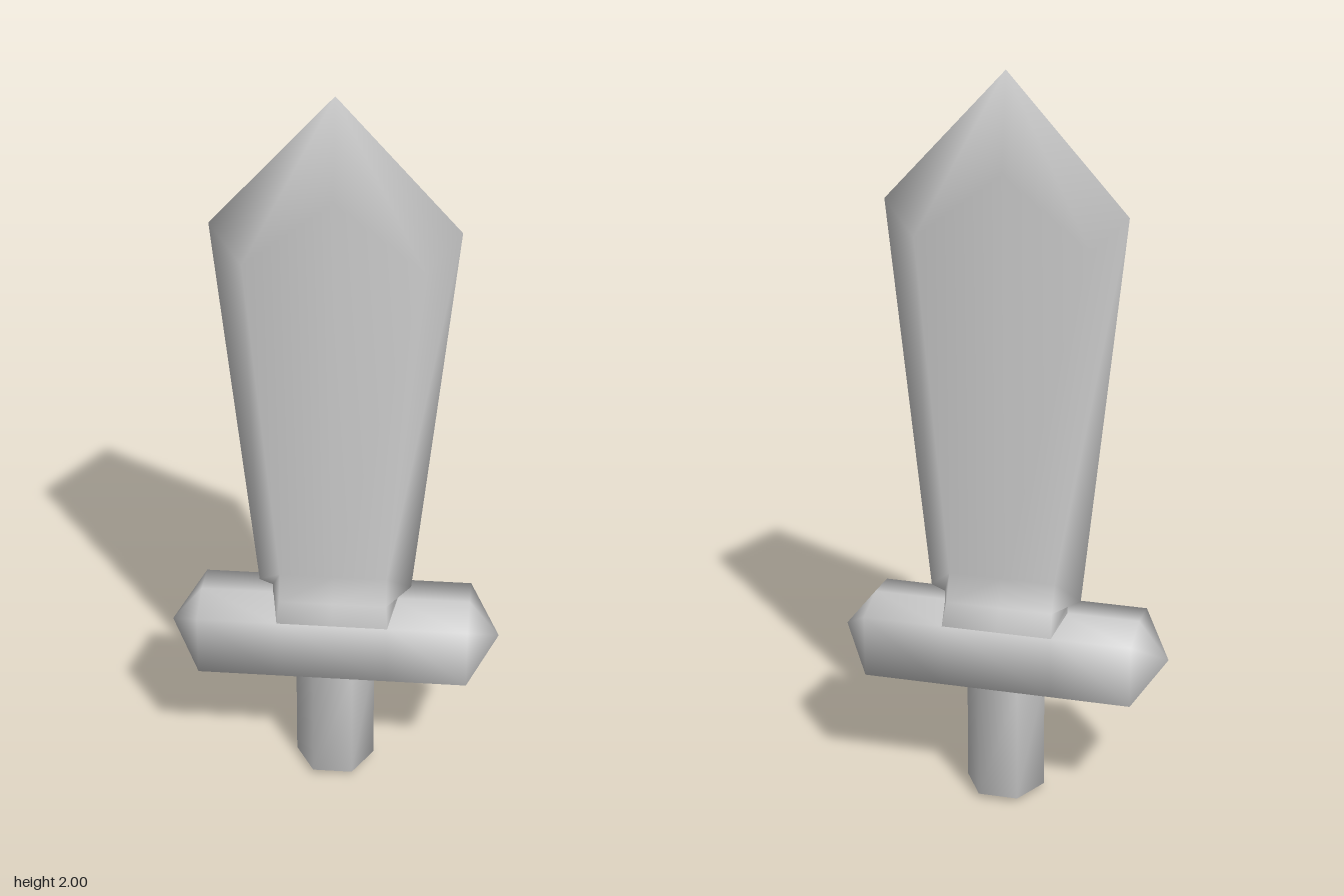
import * as THREE from 'three';

// Skins closed rings of points, closing both ends to a single point each.
function loft(rings, start, end) {
  const n = rings[0].length;
  const points = [...rings.flat(), start, end];
  const first = points.length - 2, last = points.length - 1;
  const top = (rings.length - 1) * n;
  const index = [];
  for (let j = 0; j < n; j++) {
    const k = (j + 1) % n;
    for (let i = 0; i < top; i += n) {
      index.push(i + j, i + k, i + n + k, i + j, i + n + k, i + n + j);
    }
    index.push(first, k, j, last, top + j, top + k);
  }
  const geometry = new THREE.BufferGeometry();
  geometry.setAttribute('position', new THREE.Float32BufferAttribute(points.flat(), 3));
  geometry.setIndex(index);
  geometry.computeVertexNormals();
  return geometry;
}

// Eight-point blade section: sharp edges at the sides, flats front and back.
function bladeRing([edgeX, edgeY, flatX, flatY, midY, front, back]) {
  return [
    [0, midY, front], [flatX, flatY, front], [edgeX, edgeY, 0], [flatX, flatY, back],
    [0, midY, back], [-flatX, flatY, back], [-edgeX, edgeY, 0], [-flatX, flatY, front],
  ];
}

// Six-sided guard section with slightly peaked top and bottom.
function guardRing(x) {
  return [
    [x, 0.545, 0], [x, 0.525, 0.11], [x, 0.352, 0.11],
    [x, 0.335, 0], [x, 0.352, -0.11], [x, 0.525, -0.11],
  ];
}

// Hexagonal grip section with corners at the sides.
function gripRing(y) {
  return Array.from({ length: 6 }, (_, i) => {
    const a = Math.PI / 6 + (i * Math.PI) / 3;
    return [0.105 * Math.sin(a), y, 0.105 * Math.cos(a)];
  });
}

export function createModel() {
  const model = new THREE.Group();
  model.name = 'sword';
  const grey = new THREE.MeshStandardMaterial({ color: 0xcccccc });
  grey.name = 'light grey';

  const add = (name, geometry) => {
    const mesh = new THREE.Mesh(geometry, grey);
    mesh.name = name;
    model.add(mesh);
  };

  // Blade, flaring into a collar that sinks into the guard
  const sections = [
    [0.165, 0.48, 0.145, 0.45, 0.45, 0.1, -0.1],
    [0.165, 0.54, 0.145, 0.525, 0.525, 0.11, -0.11],
    [0.165, 0.57, 0.14, 0.58, 0.58, 0.088, -0.078],
    [0.2, 0.585, 0.14, 0.65, 0.65, 0.062, -0.045],
    [0.308, 1.65, 0.222, 1.57, 1.75, 0.062, -0.045],
  ];
  add('blade', loft(sections.map(bladeRing), [0, 0.45, 0], [0, 2, 0]));

  // Crossguard with pointed ends
  add('guard', loft([-0.355, -0.145, 0.145, 0.355].map(guardRing), [-0.435, 0.44, 0], [0.435, 0.44, 0]));

  // Grip
  add('grip', loft([0.015, 0.34, 0.42].map(gripRing), [0, 0, 0], [0, 0.42, 0]));

  return model;
}
